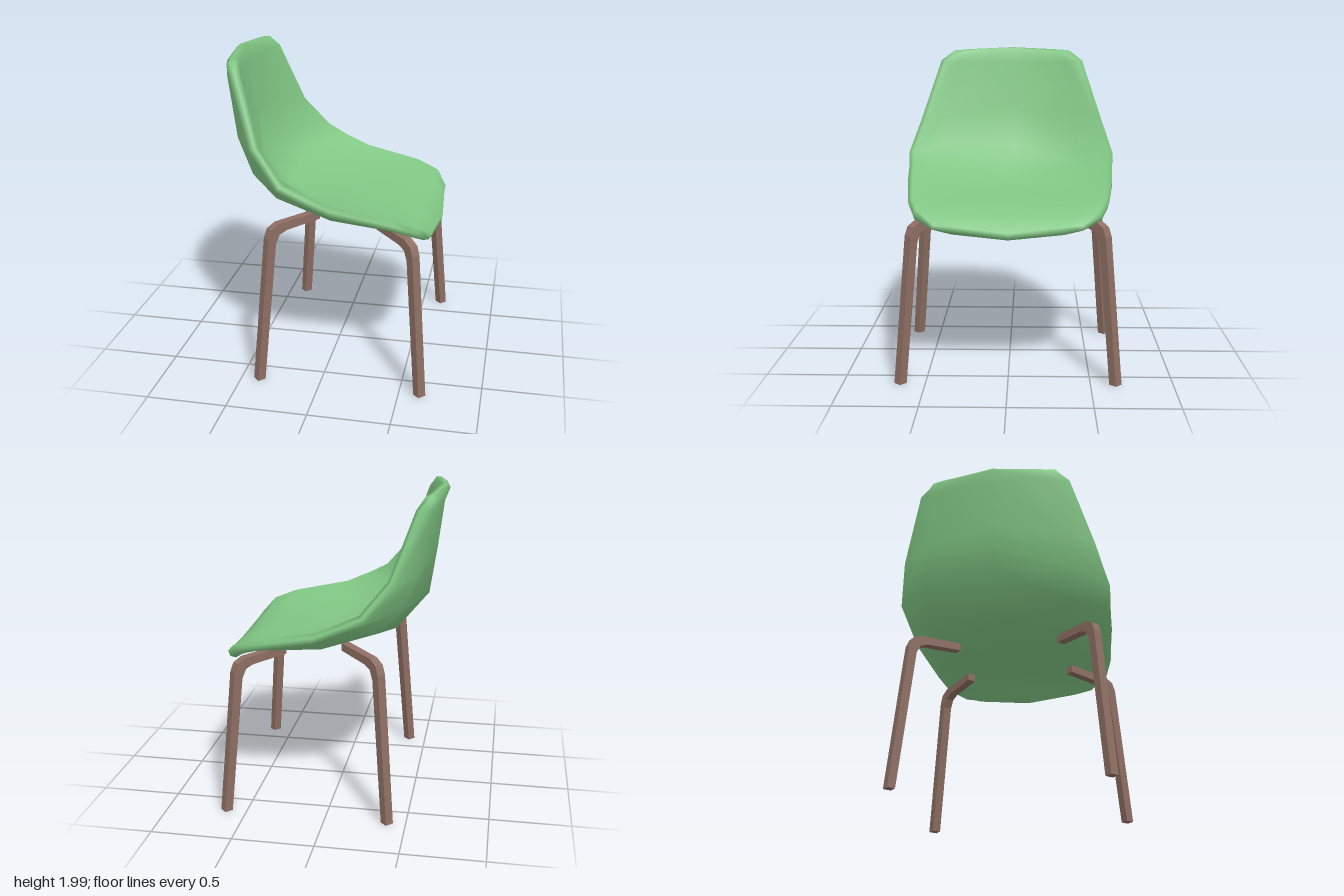
import * as THREE from 'three';

// Shell stations from the top of the back to the front lip:
// centre x, y | pan edge x, y, z | rim x, y, z
const STATIONS = [
  [-0.635, 1.975, -0.592, 1.96, 0.31, -0.578, 1.955, 0.39],
  [-0.603, 1.89, -0.57, 1.885, 0.39, -0.53, 1.895, 0.47],
  [-0.567, 1.6, -0.5, 1.53, 0.45, -0.39, 1.5, 0.6],
  [-0.525, 1.31, -0.41, 1.32, 0.47, -0.225, 1.295, 0.665],
  [-0.34, 1.08, -0.28, 1.185, 0.47, -0.09, 1.225, 0.65],
  [0.06, 1.05, 0.05, 1.08, 0.5, 0.07, 1.155, 0.64],
  [0.43, 1.03, 0.43, 1.05, 0.46, 0.43, 1.08, 0.595],
  [0.56, 0.99, 0.56, 1.0, 0.42, 0.57, 1.03, 0.55],
  [0.652, 0.914, 0.632, 0.947, 0.33, 0.622, 0.963, 0.44],
];
const HALF_THICKNESS = 0.032;

function shellGeometry() {
  const nu = STATIONS.length, nv = 5, count = nu * nv;
  const id = (u, v) => u * nv + v;
  const mid = STATIONS.flatMap(([cx, cy, px, py, pz, rx, ry, rz]) => [
    new THREE.Vector3(rx, ry, -rz), new THREE.Vector3(px, py, -pz), new THREE.Vector3(cx, cy, 0),
    new THREE.Vector3(px, py, pz), new THREE.Vector3(rx, ry, rz),
  ]);
  const clampU = (u) => Math.min(nu - 1, Math.max(0, u));
  const clampV = (v) => Math.min(nv - 1, Math.max(0, v));
  const normals = mid.map((p, i) => {
    const u = Math.floor(i / nv), v = i % nv;
    const du = mid[id(clampU(u + 1), v)].clone().sub(mid[id(clampU(u - 1), v)]);
    const dv = mid[id(u, clampV(v + 1))].clone().sub(mid[id(u, clampV(v - 1))]);
    return dv.cross(du).normalize();
  });

  // Upper and lower skins, with mirrored diagonals
  const points = [1, -1].flatMap((s) =>
    mid.map((p, i) => p.clone().addScaledVector(normals[i], s * HALF_THICKNESS)));
  const index = [];
  for (let u = 0; u < nu - 1; u++) {
    for (let v = 0; v < nv - 1; v++) {
      const a = id(u, v), b = id(u, v + 1), c = id(u + 1, v + 1), d = id(u + 1, v);
      const tris = v < 2 ? [a, b, d, b, c, d] : [a, b, c, a, c, d];
      index.push(...tris, ...tris.map((t) => t + count).reverse());
    }
  }

  // Rounded rim joining the skins
  const rim = [];
  for (let v = 0; v < nv - 1; v++) rim.push(id(0, v));
  for (let u = 0; u < nu - 1; u++) rim.push(id(u, nv - 1));
  for (let v = nv - 1; v > 0; v--) rim.push(id(nu - 1, v));
  for (let u = nu - 1; u > 0; u--) rim.push(id(u, 0));
  const n = rim.length;
  rim.forEach((r, i) => {
    const tangent = mid[rim[(i + 1) % n]].clone().sub(mid[rim[(i + n - 1) % n]]);
    const outward = tangent.cross(normals[r]).normalize();
    points.push(mid[r].clone().addScaledVector(outward, 0.016));
  });
  rim.forEach((t0, i) => {
    const j = (i + 1) % n, t1 = rim[j];
    const m0 = 2 * count + i, m1 = 2 * count + j;
    index.push(t0, m0, m1, t0, m1, t1);
    index.push(m0, t0 + count, t1 + count, m0, t1 + count, m1);
  });

  const geometry = new THREE.BufferGeometry().setFromPoints(points);
  geometry.setIndex(index);
  geometry.computeVertexNormals();
  return geometry;
}

// Bent square leg: flat outline from the inner end of the bar to the foot
function legGeometry(raise) {
  const outline = [
    [0.02, 0.957], [0.26, 0.935], [0.31, 0.915], [0.337, 0.86], [0.438, 0],
    [0.49, 0], [0.39, 0.9], [0.367, 0.955], [0.31, 0.985], [0.02, 1.005],
  ].map(([d, y]) => new THREE.Vector2(d, y > 0.5 ? y + raise : y));
  return new THREE.ExtrudeGeometry(new THREE.Shape(outline), { depth: 0.054, bevelEnabled: false })
    .translate(0, 0, -0.027);
}

export function createModel() {
  const green = new THREE.MeshStandardMaterial({ color: 0x81c784 });
  green.name = 'soft green';
  const brown = new THREE.MeshStandardMaterial({ color: 0x8d6e63 });
  brown.name = 'wood brown';

  const chair = new THREE.Group();
  chair.name = 'chair';

  const shell = new THREE.Mesh(shellGeometry(), green);
  shell.name = 'seatShell';
  chair.add(shell);

  // Four legs splayed along the diagonals
  for (const [name, x, sx, raise] of [['frontLeg', 0.3, 1, 0], ['backLeg', -0.057, -1, 0.04]]) {
    const geometry = legGeometry(raise);
    for (const sz of [1, -1]) {
      const leg = new THREE.Mesh(geometry, brown);
      leg.name = name;
      leg.position.set(x, 0, 0.323 * sz);
      leg.rotation.y = Math.atan2(-sz, sx);
      chair.add(leg);
    }
  }
  return chair;
}
